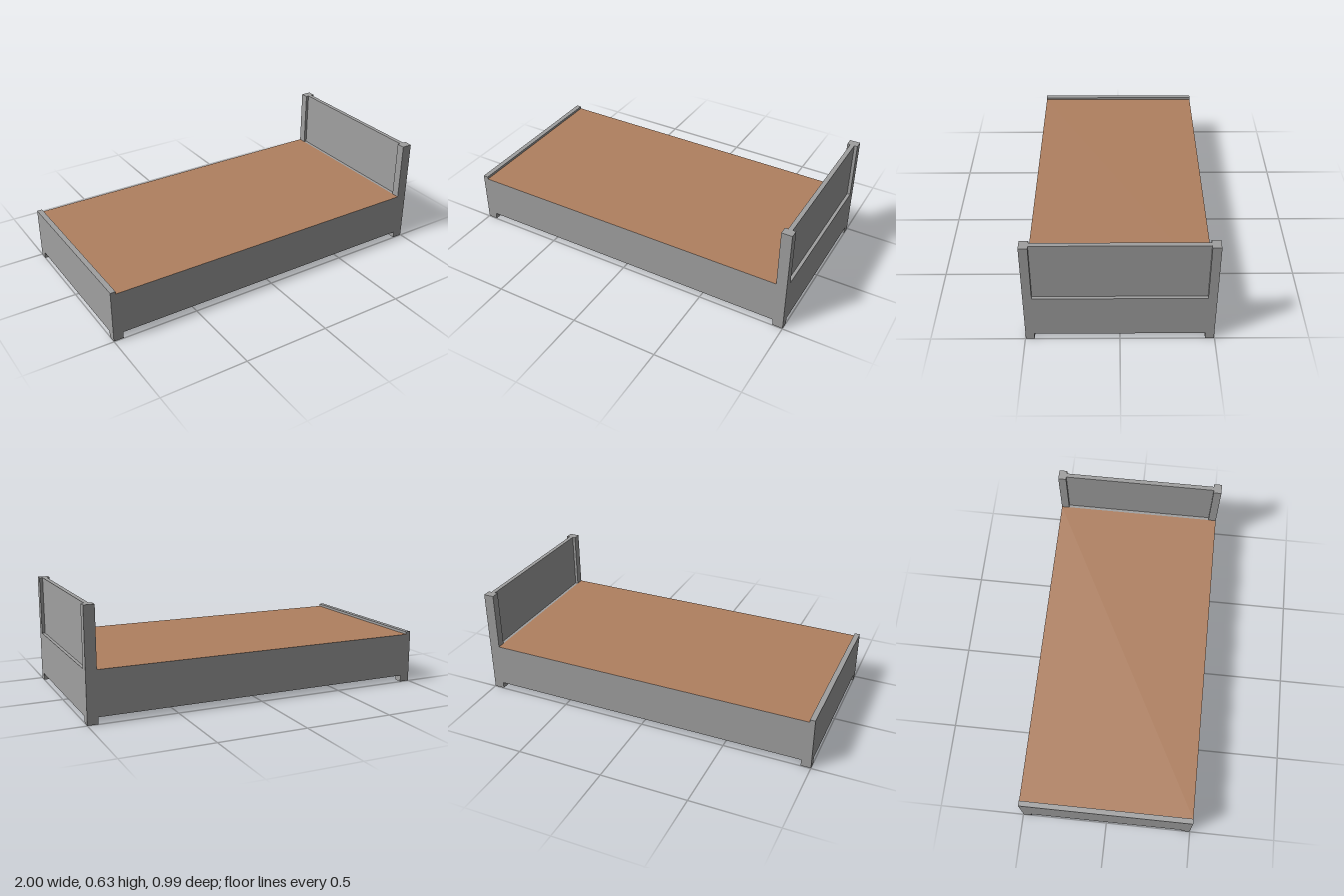
import * as THREE from 'three';

export function createModel() {
  const model = new THREE.Group();
  model.name = 'bed';
  const grey = new THREE.MeshStandardMaterial({ color: 0xa0a0a0 });
  grey.name = 'grey frame';
  const brown = new THREE.MeshStandardMaterial({ color: 0xb08060 });
  brown.name = 'brown mattress';

  // Box given by its lower and upper limits on each axis
  function box(name, [x0, x1], [y0, y1], [z0, z1], material = grey) {
    const geometry = new THREE.BoxGeometry(x1 - x0, y1 - y0, z1 - z0);
    const mesh = new THREE.Mesh(geometry, material);
    mesh.position.set((x0 + x1) / 2, (y0 + y1) / 2, (z0 + z1) / 2);
    mesh.name = name;
    model.add(mesh);
  }

  const half = 0.497, inner = 0.45, under = 0.038, deck = 0.29, top = 0.627;
  const width = [-half, half];

  // Bed base with the brown sleeping surface as its top face
  box('base', [-0.97, 0.94], [under, deck], width, [grey, grey, brown, grey, grey, grey]);

  // Raised board at the foot end
  box('footboard', [-1, -0.97], [under, 0.305], width);

  // Headboard: solid lower part and thin recessed panel
  box('headboardBase', [0.94, 1], [under, deck], [-inner, inner]);
  box('headboardPanel', [0.957, 0.982], [deck, top], [-inner, inner]);

  // Headboard posts and short feet, mirrored front to back
  for (const [side, z] of [['front', [inner, half]], ['back', [-half, -inner]]]) {
    box(side + 'HeadPost', [0.94, 1], [0, top], z);
    box(side + 'Foot', [-1, -0.943], [0, under], z);
  }
  return model;
}
